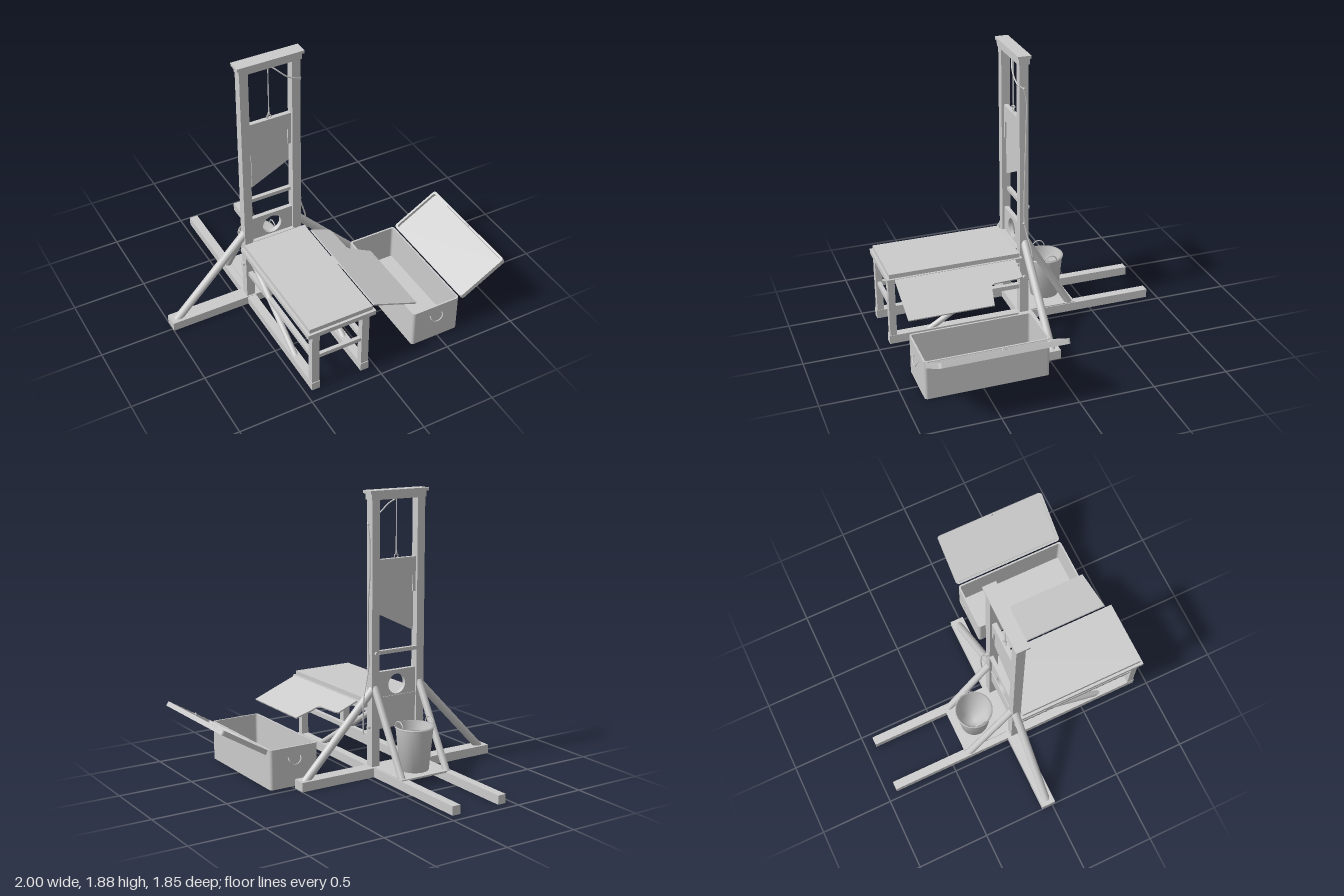
import * as THREE from 'three';

const mat = new THREE.MeshStandardMaterial({ color: 0xcccccc });
const thin = new THREE.MeshStandardMaterial({ color: 0xcccccc, side: THREE.DoubleSide });
const V = (x, y, z) => new THREE.Vector3(x, y, z);
const CX = -0.25; // centre line of the frame

export function createModel() {
  const root = new THREE.Group();

  const add = (name, geo, parent = root, material = mat) => {
    const m = new THREE.Mesh(geo, material);
    m.name = name;
    parent.add(m);
    return m;
  };
  // box given by its limits on each axis
  const box = (name, x0, x1, y0, y1, z0, z1, parent) => {
    const m = add(name, new THREE.BoxGeometry(x1 - x0, y1 - y0, z1 - z0), parent);
    m.position.set((x0 + x1) / 2, (y0 + y1) / 2, (z0 + z1) / 2);
    return m;
  };
  // round pole between two points
  const pole = (name, a, b, r, seg = 16) => {
    const m = add(name, new THREE.CylinderGeometry(r, r, a.distanceTo(b), seg));
    m.position.copy(a).add(b).multiplyScalar(0.5);
    m.quaternion.setFromUnitVectors(V(0, 1, 0), b.clone().sub(a).normalize());
    return m;
  };
  const tube = (name, pts, r, n = 60, parent) =>
    add(name, new THREE.TubeGeometry(new THREE.CatmullRomCurve3(pts), n, r, 8), parent);
  const poly = (pts) => new THREE.Shape(pts.map(([x, y]) => new THREE.Vector2(x, y)));
  const slab = (name, shape, depth, parent) =>
    add(name, new THREE.ExtrudeGeometry(shape, { depth, bevelEnabled: false, curveSegments: 24 }), parent);
  // rounded rectangle outline
  const roundRect = (x0, x1, y0, y1, r, Cls = THREE.Shape) => {
    const s = new Cls();
    s.moveTo(x0 + r, y0);
    s.lineTo(x1 - r, y0); s.absarc(x1 - r, y0 + r, r, -Math.PI / 2, 0);
    s.lineTo(x1, y1 - r); s.absarc(x1 - r, y1 - r, r, 0, Math.PI / 2);
    s.lineTo(x0 + r, y1); s.absarc(x0 + r, y1 - r, r, Math.PI / 2, Math.PI);
    s.lineTo(x0, y0 + r); s.absarc(x0 + r, y0 + r, r, Math.PI, Math.PI * 1.5);
    return s;
  };
  // open tray with floor at local y = 0, spanning x 0..w and z z0..z1
  const tray = (name, w, h, z0, z1, floor, wall) => {
    const g = new THREE.Group();
    g.name = name;
    const rim = roundRect(0, w, -z1, -z0, 0.02);
    rim.holes.push(roundRect(wall, w - wall, -z1 + wall, -z0 - wall, 0.015, THREE.Path));
    const walls = slab(name + 'Walls', rim, h, g);
    const base = slab(name + 'Floor', roundRect(0.001, w - 0.001, -z1 + 0.001, -z0 - 0.001, 0.02), floor, g);
    walls.rotation.x = base.rotation.x = -Math.PI / 2;
    root.add(g);
    return g;
  };

  // ground beams and bucket platform
  box('crossBeam', -1, 0.5, 0, 0.062, -0.075, 0.02);
  for (const s of [-1, 1]) {
    const x = CX + s * 0.176;
    box('groundBeam', x - 0.029, x + 0.029, 0, 0.06, -0.93, 0.915);
    // uprights with their braces
    box('post', x - 0.029, x + 0.029, 0.05, 1.83, -0.05, 0.01);
    pole('sideBrace', V(CX + s * 0.705, 0.045, -0.027), V(CX + s * 0.18, 0.59, -0.027), 0.027);
    pole('rearBrace', V(x, 0.04, -0.365), V(x, 0.6, -0.035), 0.024);
    pole('sidePeg', V(x, 0.33, -0.02), V(x + s * 0.045, 0.33, -0.02), 0.012);
    // bench side frame
    box('benchLeg', x - 0.026, x + 0.026, 0.05, 0.47, 0.865, 0.91);
    box('benchSideRail', x - 0.015, x + 0.015, 0.24, 0.27, -0.01, 0.88);
    pole('benchBrace', V(x, 0.04, 0.65), V(x, 0.43, 0), 0.02);
  }
  box('bucketPlatform', -0.41, -0.05, 0.055, 0.067, -0.39, -0.07);

  // head beam and crossbar
  box('headBeam', -0.46, -0.037, 1.82, 1.862, -0.055, 0.018);
  box('headCap', -0.475, -0.025, 1.86, 1.88, -0.062, 0.026);
  box('crossbar', -0.4, -0.1, 0.815, 0.84, -0.052, -0.025);
  pole('crossbarPeg', V(-0.075, 0.825, -0.04), V(-0.075, 0.825, -0.065), 0.012);

  // board with round opening
  const board = poly([[-0.4, 0.31], [-0.1, 0.31], [-0.1, 0.695], [-0.4, 0.695]]);
  board.holes.push(new THREE.Path().absarc(CX, 0.6, 0.067, 0, Math.PI * 2, true));
  slab('neckBoard', board, 0.03).position.z = -0.035;
  box('boardSeam', -0.4, -0.1, 0.5, 0.525, -0.04, 0.02);

  // blade and its weight
  slab('bladeWeight', poly([[-0.395, 1.205], [-0.375, 1.205], [-0.375, 1.315], [-0.365, 1.325],
    [-0.137, 1.325], [-0.127, 1.315], [-0.127, 1.205], [-0.105, 1.205], [-0.105, 1.435], [-0.395, 1.435]]),
  0.03).position.z = -0.035;
  slab('blade', poly([[-0.382, 0.945], [-0.118, 1.075], [-0.118, 1.205], [-0.127, 1.205],
    [-0.127, 1.33], [-0.375, 1.33], [-0.375, 1.205], [-0.382, 1.205]]), 0.01).position.z = -0.025;
  const ring = add('bladeRing', new THREE.TorusGeometry(0.014, 0.004, 8, 20));
  ring.position.set(CX, 1.447, -0.02);
  const knot = add('ropeKnot', new THREE.TorusGeometry(0.01, 0.005, 8, 16));
  knot.position.set(CX, 1.468, -0.02);
  knot.rotation.y = 0.8;

  // hoisting rope
  pole('bladeRope', V(CX, 1.46, -0.02), V(CX, 1.83, -0.02), 0.004, 8);
  tube('looseRope', [V(CX, 1.82, -0.02), V(-0.21, 1.79, 0.005), V(-0.14, 1.725, 0.018),
    V(-0.06, 1.685, 0.015), V(-0.036, 1.665, -0.01), V(-0.035, 1.6, -0.03), V(-0.039, 1.35, -0.03),
    V(-0.032, 1.15, -0.022), V(-0.036, 0.9, -0.018), V(-0.036, 0.73, -0.02), V(-0.015, 0.65, -0.03),
    V(0.02, 0.54, -0.05), V(0.028, 0.42, -0.055), V(0.023, 0.3, -0.052)], 0.005, 120);
  for (const y of [1.665, 0.73]) {
    const k = add('ropeKnot', new THREE.SphereGeometry(0.009, 12, 8));
    k.position.set(-0.036, y, -0.015);
  }

  // bench top and front rail
  box('benchFrame', -0.485, -0.01, 0.46, 0.492, 0.005, 0.922);
  box('benchTop', -0.467, -0.025, 0.49, 0.522, 0.02, 0.905);
  box('benchFrontRail', -0.42, -0.08, 0.25, 0.278, 0.875, 0.9);

  // notched side flap sloping from the bench to the chest
  const flap = slab('sideFlap', poly([[0, -0.06], [0.15, -0.06], [0.16, -0.09], [0.167, -0.26],
    [0.18, -0.28], [0.34, -0.31], [0.34, -0.875], [0, -0.875]].reverse()), 0.01);
  flap.rotation.set(-Math.PI / 2, 0.38, 0, 'ZXY');
  flap.position.set(0, 0.488, 0);

  // bucket with two lifting loops
  const bucket = add('bucket', new THREE.LatheGeometry([[0, 0.068], [0.096, 0.068], [0.124, 0.35],
    [0.129, 0.352], [0.129, 0.362], [0.118, 0.362], [0.09, 0.08], [0, 0.08]]
    .map(([x, y]) => new THREE.Vector2(x, y)), 40), root, thin);
  bucket.position.set(CX, 0, -0.24);
  for (const s of [-1, 1]) {
    const loop = add('bucketLoop', new THREE.TorusGeometry(0.045, 0.004, 8, 20, Math.PI));
    loop.position.set(CX + s * 0.121, 0.36, -0.24);
    loop.rotation.y = Math.PI / 2;
  }

  // open chest with end handles
  const chest = tray('chest', 0.35, 0.265, 0.06, 0.875, 0.012, 0.012);
  chest.position.x = 0.305;
  for (const [z, s] of [[0.88, 1], [0.055, -1]]) {
    tube('chestHandle', [V(-0.045, 0.2, -0.005 * s), V(-0.043, 0.18, 0.008 * s), V(-0.025, 0.157, 0.012 * s),
      V(0, 0.15, 0.013 * s), V(0.025, 0.157, 0.012 * s), V(0.043, 0.18, 0.008 * s), V(0.045, 0.2, -0.005 * s)],
    0.004, 30).position.set(0.48, 0, z);
  }

  // hinged lid with latch
  const lid = tray('lid', 0.372, 0.032, 0.06, 0.875, 0.012, 0.016);
  lid.position.set(0.68, 0.24, 0);
  lid.rotation.z = 0.535;
  const latch = add('lidLatch', new THREE.TorusGeometry(0.015, 0.004, 8, 16, Math.PI), lid);
  latch.position.set(0.364, 0.03, 0.47);
  latch.rotation.y = Math.PI / 2;

  return root;
}
